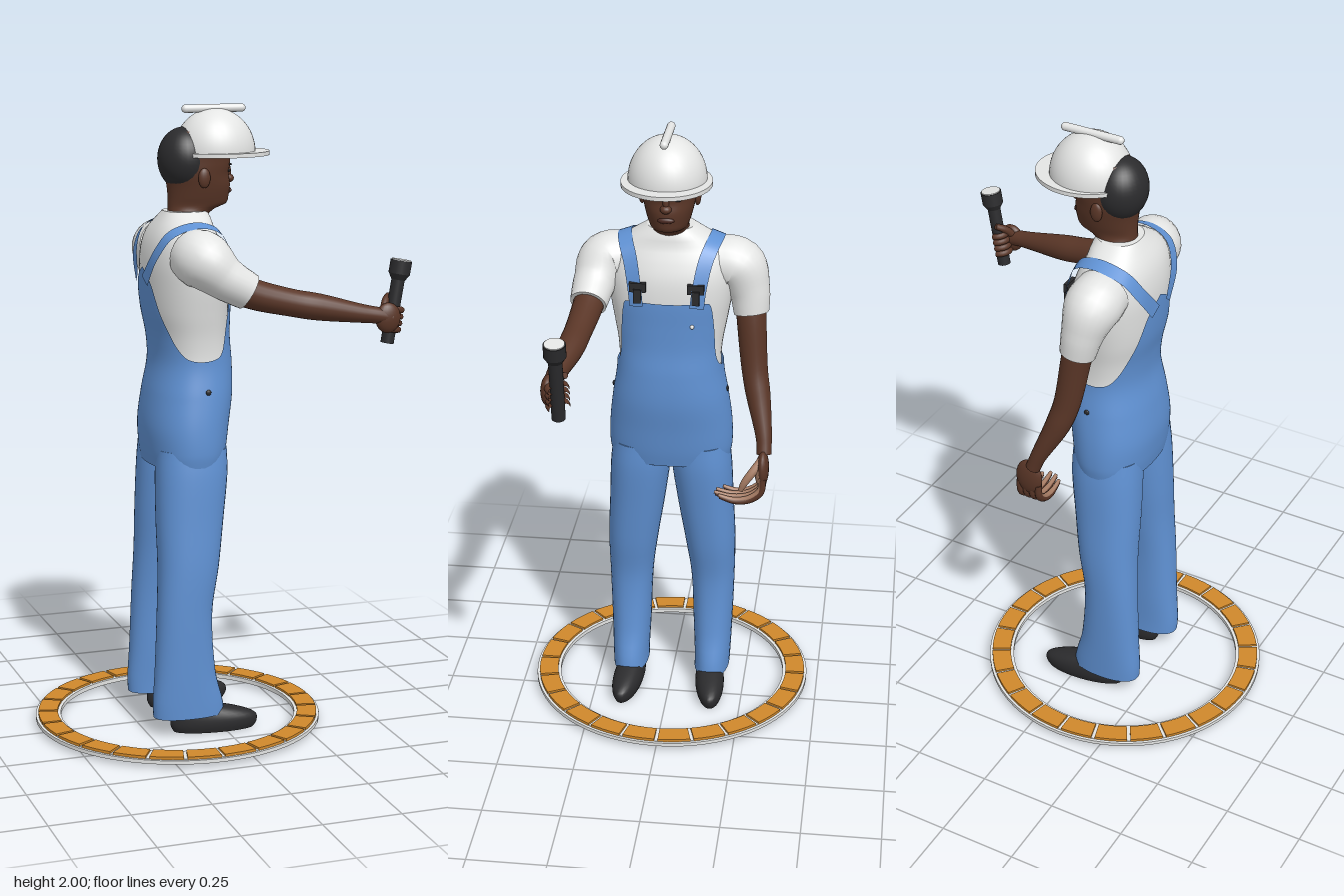
import * as THREE from 'three';

const mat = (name, color) => Object.assign(new THREE.MeshStandardMaterial({ color }), { name });
const M = {
  white: mat('white', 0xe4e5e4), denim: mat('denim blue', 0x6092d4), skin: mat('skin', 0x5a3627),
  palm: mat('palm', 0xa67c64), black: mat('black', 0x2b2b2d), orange: mat('orange', 0xcf882b),
  strap: mat('strap blue', 0x6092d4), lips: mat('lips', 0x4a2820),
};
M.strap.side = THREE.DoubleSide;
M.denim.side = THREE.DoubleSide;

const TAU = Math.PI * 2;
const V = (x, y, z) => new THREE.Vector3(x, y, z);

function add(parent, name, geometry, material, pos = [0, 0, 0], scale = [1, 1, 1]) {
  const mesh = new THREE.Mesh(geometry, material);
  mesh.name = name;
  mesh.position.set(...pos);
  mesh.scale.set(...scale);
  parent.add(mesh);
  return mesh;
}

// Closed skin over rings: fn(angle, t) gives a point, ends get flat caps
function skin(nu, nv, fn, caps = true) {
  const rows = [];
  for (let j = 0; j <= nv; j++) rows.push(Array.from({ length: nu }, (_, i) => fn((i / nu) * TAU, j / nv)));
  if (caps) {
    const centre = (row) => {
      const c = row.reduce((s, p) => s.add(p), V(0, 0, 0)).divideScalar(nu);
      return row.map(() => c);
    };
    const first = rows[0], last = rows[nv];
    rows.unshift(centre(first), first);
    rows.push(last, centre(last));
  }
  const index = [];
  for (let j = 0; j < rows.length - 1; j++) for (let i = 0; i < nu; i++) {
    const a = j * nu + i, b = j * nu + (i + 1) % nu;
    index.push(a, a + nu, b, b, a + nu, b + nu);
  }
  const g = new THREE.BufferGeometry().setFromPoints(rows.flat());
  g.setIndex(index);
  g.computeVertexNormals();
  return g;
}

// Smooth interpolation of rows [key, ...values]
function sample(rows, y) {
  let k = 0;
  while (k < rows.length - 2 && y > rows[k + 1][0]) k++;
  const at = (i) => rows[Math.min(Math.max(i, 0), rows.length - 1)];
  const [a, b, c, d] = [at(k - 1), at(k), at(k + 1), at(k + 2)];
  const t = THREE.MathUtils.clamp((y - b[0]) / (c[0] - b[0]), 0, 1);
  return b.map((_, i) => {
    const s0 = (c[i] - a[i]) / (c[0] - a[0]) * (c[0] - b[0]);
    const s1 = (d[i] - b[i]) / (d[0] - b[0]) * (c[0] - b[0]);
    return (2 * t ** 3 - 3 * t * t + 1) * b[i] + (t ** 3 - 2 * t * t + t) * s0 + (3 * t * t - 2 * t ** 3) * c[i] + (t ** 3 - t * t) * s1;
  });
}

// Point on a rounded cross-section; rings are [y, back x, front x, min z, max z]
function section(rings, y, ang, off = 0, power = 0.88) {
  const [, xb, xf, z0, z1] = sample(rings, y);
  const c = Math.cos(ang), s = Math.sin(ang);
  return V((xb + xf) / 2 + ((xf - xb) / 2 + off) * Math.sign(c) * Math.abs(c) ** power, y,
    (z0 + z1) / 2 + ((z1 - z0) / 2 + off) * Math.sign(s) * Math.abs(s) ** power);
}
function loft(rings, nv, nu = 36, power = 0.88) {
  const y0 = rings[0][0], y1 = rings[rings.length - 1][0];
  return skin(nu, nv, (a, t) => section(rings, y0 + (y1 - y0) * t, a, 0, power));
}

// Tapered tube through points [x, y, z, radius]
function limb(pts, nu = 18, nv = 18, ref = V(1, 0, 0.01)) {
  const curve = new THREE.CatmullRomCurve3(pts.map((p) => V(p[0], p[1], p[2])));
  const radii = pts.map((p, i) => [i, p[3]]);
  return skin(nu, nv, (a, t) => {
    const dir = curve.getTangent(t);
    const n = ref.clone().addScaledVector(dir, -ref.dot(dir)).normalize();
    const s = n.clone().cross(dir);
    const r = sample(radii, t * (pts.length - 1))[1];
    return curve.getPoint(t).addScaledVector(n, r * Math.cos(a)).addScaledVector(s, r * Math.sin(a));
  });
}

const sym = (y, xb, xf, h) => [y, xb, xf, -h, h];
const BODY = [
  sym(0.872, -0.205, 0.015, 0.185), sym(0.92, -0.212, 0.025, 0.192), sym(1.0, -0.216, 0.036, 0.19), sym(1.1, -0.204, 0.05, 0.178),
  sym(1.2, -0.186, 0.05, 0.163), sym(1.28, -0.19, 0.043, 0.166), sym(1.36, -0.205, 0.043, 0.18), sym(1.45, -0.212, 0.045, 0.195),
  sym(1.52, -0.212, 0.038, 0.2), sym(1.58, -0.202, 0.018, 0.188), sym(1.62, -0.185, 0, 0.155), sym(1.65, -0.165, -0.005, 0.11),
  sym(1.672, -0.15, -0.015, 0.075)];
// Top edge of the overalls by angle from the front
const BIB = [[0, 1.45], [0.62, 1.45], [0.7, 1.44], [0.85, 1.36], [1.05, 1.26], [1.3, 1.222], [1.95, 1.222], [2.3, 1.27], [2.6, 1.36], [2.85, 1.45], [Math.PI, 1.5]];
const LEG = [
  [0.06, -0.235, 0, 0.08, 0.198], [0.1, -0.237, -0.005, 0.08, 0.2], [0.2, -0.23, -0.03, 0.075, 0.204], [0.4, -0.22, -0.042, 0.066, 0.21],
  [0.55, -0.213, -0.018, 0.046, 0.212], [0.7, -0.213, 0.002, 0.022, 0.205], [0.85, -0.21, 0.02, 0.002, 0.198], [0.93, -0.205, 0.02, 0, 0.188]];
const SHOE = [sym(0, -0.165, 0.1, 0.042), sym(0.02, -0.175, 0.112, 0.048), sym(0.045, -0.175, 0.105, 0.048), sym(0.065, -0.17, 0.06, 0.043), sym(0.085, -0.165, -0.02, 0.036)];
const HEAD = [
  sym(1.6, -0.15, 0, 0.072), sym(1.655, -0.138, -0.008, 0.063), sym(1.678, -0.135, 0.02, 0.058), sym(1.69, -0.135, 0.053, 0.06), sym(1.715, -0.135, 0.062, 0.068),
  sym(1.75, -0.138, 0.066, 0.077), sym(1.785, -0.145, 0.061, 0.084), sym(1.82, -0.15, 0.066, 0.087), sym(1.87, -0.145, 0.062, 0.086), sym(1.92, -0.11, 0.03, 0.06)];

function buildClothes(g) {
  const top = (a) => sample(BIB, Math.min(a, TAU - a))[1];
  add(g, 'shirt', skin(48, 30, (a, t) => section(BODY, 1.16 + 0.512 * t, a)), M.white);
  add(g, 'overalls', skin(144, 40, (a, t) => section(BODY, 0.872 + (top(a) - 0.872) * t, a, 0.008), false), M.denim);
  for (const s of [1, -1]) {
    // Trouser leg and shoe
    const rings = LEG.map(([y, b, f, i, o]) => [y, b, f, Math.min(s * i, s * o), Math.max(s * i, s * o)]);
    add(g, 'trouserLeg', loft(rings, 30), M.denim);
    const shoe = add(g, 'shoe', loft(SHOE, 12, 32, 1), M.black, [0, 0, s * 0.142]);
    shoe.rotation.y = -s * 0.1;
    // Shoulder strap as a ribbon over the torso
    const path = [[1.44, 0.42], [1.5, 0.44], [1.58, 0.57], [1.618, 0.85], [1.636, 1.57], [1.61, 2.3], [1.55, 2.65], [1.46, 2.99]];
    const curve = new THREE.CatmullRomCurve3(path.map(([y, a]) => section(BODY, y, a * s, 0.013)));
    const ribbon = new THREE.PlaneGeometry(1, 1, 1, 40), p = ribbon.attributes.position;
    for (let i = 0; i < p.count; i++) {
      const t = p.getY(i) + 0.5, c = curve.getPoint(t);
      const n = c.clone().sub(V(-0.085, 1.47, c.z * 0.6));
      const w = curve.getTangent(t).cross(n).normalize().multiplyScalar(p.getX(i) * 0.046);
      c.add(w).addScaledVector(n.normalize(), 0.003);
      p.setXYZ(i, c.x, c.y, c.z);
    }
    ribbon.computeVertexNormals();
    add(g, 'shoulderStrap', ribbon, M.strap);
    // Buckle and side button
    add(g, 'buckle', new THREE.BoxGeometry(0.014, 0.03, 0.052), M.black, [0.045, 1.502, s * 0.091]);
    add(g, 'buckleHook', new THREE.BoxGeometry(0.014, 0.045, 0.024), M.black, [0.051, 1.475, s * 0.091]);
    add(g, 'sideButton', new THREE.SphereGeometry(0.009, 12, 8), M.black, [-0.065, 1.12, s * 0.184], [1, 1, 0.5]);
  }
  add(g, 'bibButton', new THREE.SphereGeometry(0.007, 10, 8), M.white, [0.045, 1.375, -0.08]);
}

function buildHead(g) {
  add(g, 'head', loft(HEAD, 50, 40, 1), M.skin);
  add(g, 'hair', new THREE.SphereGeometry(1, 32, 24), M.black, [-0.082, 1.832, 0], [0.084, 0.1, 0.09]);
  add(g, 'nose', new THREE.SphereGeometry(1, 16, 12), M.skin, [0.064, 1.768, 0], [0.018, 0.014, 0.018]);
  add(g, 'noseBridge', new THREE.SphereGeometry(1, 16, 12), M.skin, [0.06, 1.788, 0], [0.013, 0.03, 0.01]);
  add(g, 'mouth', new THREE.SphereGeometry(1, 16, 12), M.lips, [0.062, 1.731, 0], [0.009, 0.01, 0.026]);
  for (const s of [1, -1]) {
    add(g, 'ear', new THREE.SphereGeometry(1, 16, 12), M.skin, [-0.045, 1.778, s * 0.086], [0.02, 0.031, 0.011]);
    add(g, 'eye', new THREE.SphereGeometry(1, 12, 8), M.black, [0.052, 1.795, s * 0.034], [0.006, 0.005, 0.012]);
    add(g, 'eyebrow', new THREE.SphereGeometry(1, 12, 8), M.black, [0.055, 1.815, s * 0.035], [0.006, 0.004, 0.019]);
  }
  // Hard hat
  add(g, 'hatDome', new THREE.SphereGeometry(1, 40, 16, 0, TAU, 0, Math.PI / 2), M.white, [0.018, 1.85, 0], [0.13, 0.138, 0.122]);
  add(g, 'hatBrim', new THREE.CylinderGeometry(1, 1, 1, 48), M.white, [0.038, 1.848, 0], [0.157, 0.013, 0.14]);
  const ridge = add(g, 'hatRidge', new THREE.CapsuleGeometry(0.013, 0.185, 6, 16), M.white, [0.015, 1.987, 0]);
  ridge.rotation.z = Math.PI / 2;
}

function buildArms(g) {
  const up = V(0, 1, 0);
  // Raised arm
  add(g, 'raisedSleeve', limb([[-0.1, 1.545, 0.14, 0.085], [-0.085, 1.535, 0.205, 0.09], [-0.03, 1.485, 0.235, 0.069], [0.045, 1.44, 0.246, 0.058]], 24, 18, up), M.white);
  add(g, 'raisedArm', limb([[-0.02, 1.47, 0.238, 0.05], [0.05, 1.436, 0.246, 0.048], [0.18, 1.402, 0.258, 0.043], [0.27, 1.385, 0.268, 0.042], [0.4, 1.362, 0.288, 0.03], [0.46, 1.353, 0.295, 0.026], [0.5, 1.345, 0.298, 0.024]], 20, 28, up), M.skin);
  add(g, 'raisedPalm', new THREE.SphereGeometry(1, 20, 14), M.skin, [0.488, 1.345, 0.3], [0.042, 0.048, 0.022]);
  // Flashlight held in the fingers
  const torch = new THREE.Group();
  torch.name = 'flashlight';
  torch.position.set(0.523, 1.39, 0.268);
  torch.rotation.z = -0.17;
  g.add(torch);
  add(torch, 'torchBody', new THREE.CylinderGeometry(0.021, 0.021, 0.22, 24), M.black, [0, -0.022, 0]);
  add(torch, 'torchNeck', new THREE.CylinderGeometry(0.034, 0.022, 0.02, 24), M.black, [0, 0.08, 0]);
  add(torch, 'torchHead', new THREE.CylinderGeometry(0.034, 0.034, 0.042, 24), M.black, [0, 0.11, 0]);
  add(torch, 'torchLens', new THREE.CylinderGeometry(0.031, 0.031, 0.004, 24), M.white, [0, 0.132, 0]);
  for (let i = 0; i < 4; i++) {
    const finger = add(torch, 'grippingFinger', new THREE.TorusGeometry(0.027, 0.0105, 8, 20, 4.2), M.skin, [0, -0.085 + i * 0.021, 0]);
    finger.rotation.set(Math.PI / 2, 0, 0.6);
  }
  add(torch, 'grippingThumb', limb([[-0.04, -0.03, 0.02, 0.013], [-0.028, 0, -0.005, 0.012], [-0.012, 0.016, -0.025, 0.01]], 10, 8), M.skin);

  // Hanging arm
  add(g, 'hangingSleeve', limb([[-0.1, 1.545, -0.14, 0.085], [-0.1, 1.53, -0.21, 0.088], [-0.088, 1.46, -0.246, 0.067], [-0.075, 1.385, -0.256, 0.056]], 24, 18), M.white);
  add(g, 'hangingArm', limb([[-0.085, 1.44, -0.25, 0.048], [-0.07, 1.36, -0.257, 0.047], [-0.045, 1.2, -0.272, 0.042], [-0.02, 1.12, -0.287, 0.039], [0.035, 1.0, -0.311, 0.026], [0.055, 0.95, -0.314, 0.024]], 20, 28), M.skin);
  add(g, 'hangingHand', new THREE.SphereGeometry(1, 20, 14), M.skin, [0.071, 0.907, -0.312], [0.046, 0.062, 0.02]);
  add(g, 'hangingPalm', new THREE.SphereGeometry(1, 20, 14), M.palm, [0.071, 0.9, -0.304], [0.04, 0.052, 0.017]);
  for (let i = 0; i < 4; i++) {
    const x = 0.038 + i * 0.022, tip = [0.025, 0.005, 0, 0.015][i];
    const bend = (dy, r) => limb([[x, 0.885 + dy, -0.313, r], [x, 0.84 + dy, -0.31, r], [x, 0.81 + dy, -0.275, r], [x, 0.802 + dy, -0.22 - tip / 2, r * 0.9], [x, 0.815 + dy, -0.162 - tip, r * 0.6]], 10, 16);
    add(g, 'finger', bend(0, 0.0115), M.skin);
    add(g, 'fingerPad', bend(0.005, 0.0095).translate(0, 0, 0.004), M.palm);
  }
  add(g, 'thumb', limb([[0.08, 0.94, -0.308, 0.014], [0.102, 0.905, -0.28, 0.014], [0.11, 0.872, -0.257, 0.012], [0.11, 0.845, -0.245, 0.008]], 12, 12), M.palm);
}

function buildRing(g) {
  // Floor ring with 24 plates
  const profile = [[0.383, 0.012], [0.465, 0.012], [0.465, 0.024], [0.456, 0.024], [0.456, 0.026], [0.383, 0.026], [0.383, 0.012]];
  const points = profile.flatMap(([x, y]) => [new THREE.Vector2(x, y), new THREE.Vector2(x, y)]);
  add(g, 'floorRing', new THREE.LatheGeometry(points, 72), M.white, [-0.11, 0, 0]);
  for (let i = 0; i < 24; i++) {
    const a0 = (i / 24) * TAU + 0.013, a1 = ((i + 1) / 24) * TAU - 0.013;
    const shape = new THREE.Shape();
    shape.absarc(0, 0, 0.456, a0, a1, false);
    shape.absarc(0, 0, 0.393, a1, a0, true);
    const plate = new THREE.ExtrudeGeometry(shape, { depth: 0.009, bevelEnabled: false, curveSegments: 4 });
    add(g, 'ringPlate', plate.rotateX(-Math.PI / 2), M.orange, [-0.11, 0.024, 0]);
  }
}

export function createModel() {
  const g = new THREE.Group();
  g.name = 'workerWithFlashlight';
  buildClothes(g);
  buildHead(g);
  buildArms(g);
  buildRing(g);
  return g;
}
